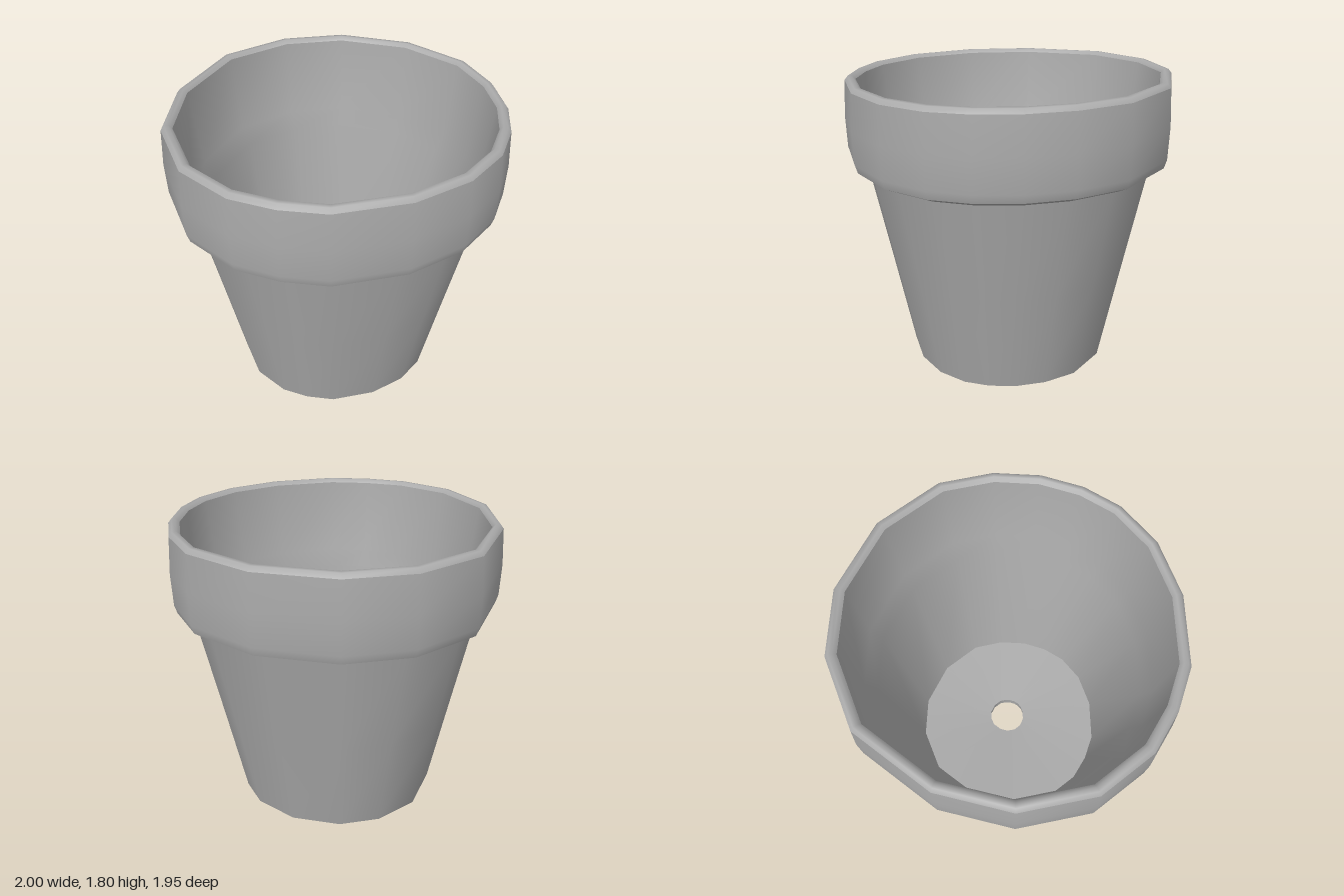
import * as THREE from 'three';

// Uneven hand-cut outline shared by every ring, [x, z] from +x round to +z
const OUTLINE = [
  [1, -0.1], [0.97, 0.22], [0.87, 0.48], [0.72, 0.69], [0.53, 0.85], [0.25, 0.96], [-0.1, 0.97],
  [-0.5, 0.85], [-0.71, 0.69], [-0.88, 0.49], [-1, 0.15], [-0.95, -0.28], [-0.72, -0.65],
  [-0.29, -0.95], [0.15, -0.98], [0.52, -0.84], [0.85, -0.51],
];

// Skins a strip of rings [scale, y, centreX]; the whole pot leans slightly
function loft(name, rings, material) {
  const n = OUTLINE.length, pos = [], index = [];
  rings.forEach(([s, y, cx = 0]) => OUTLINE.forEach(([ox, oz]) => {
    const x = ox * s + cx, z = oz * s;
    pos.push(x, y + 0.012 * x - 0.01 * z, z);
  }));
  for (let r = 0; r < rings.length - 1; r++) {
    for (let i = 0; i < n; i++) {
      const j = (i + 1) % n, a = r * n, b = a + n;
      index.push(a + i, b + i, a + j, a + j, b + i, b + j);
    }
  }
  const geometry = new THREE.BufferGeometry();
  geometry.setAttribute('position', new THREE.Float32BufferAttribute(pos, 3));
  geometry.setIndex(index);
  geometry.computeVertexNormals();
  const mesh = new THREE.Mesh(geometry, material);
  mesh.name = name;
  return mesh;
}

export function createModel() {
  const clay = new THREE.MeshStandardMaterial({ color: 0xaaaaaa });
  clay.name = 'grey clay';

  const pot = new THREE.Group();
  pot.name = 'flowerPot';
  pot.add(
    // Tapered outer wall
    loft('body', [[0.635, 0.015], [0.76, 0.64], [0.89, 1.28]], clay),
    // Thick collar: underside, then side
    loft('rimUnderside', [[0.88, 1.28], [0.92, 1.28], [0.98, 1.31]], clay),
    loft('rim', [[0.98, 1.31], [0.995, 1.36], [1, 1.55], [0.985, 1.765]], clay),
    // Rounded top edge
    loft('lip', [[0.985, 1.765], [0.965, 1.79], [0.94, 1.792], [0.92, 1.77]], clay),
    // Inner wall with a step below the collar, running down to the floor
    loft('interior', [[0.92, 1.77], [0.86, 1.3], [0.8, 1.2], [0.62, 0.16]], clay),
    loft('floor', [[0.62, 0.16], [0.12, 0.12, 0.05]], clay),
    // Drain hole and slightly hollow base
    loft('drainHole', [[0.12, 0.12, 0.05], [0.125, 0.05, 0.05]], clay),
    loft('base', [[0.125, 0.05, 0.05], [0.56, 0.02], [0.635, 0.015]], clay),
  );
  return pot;
}
